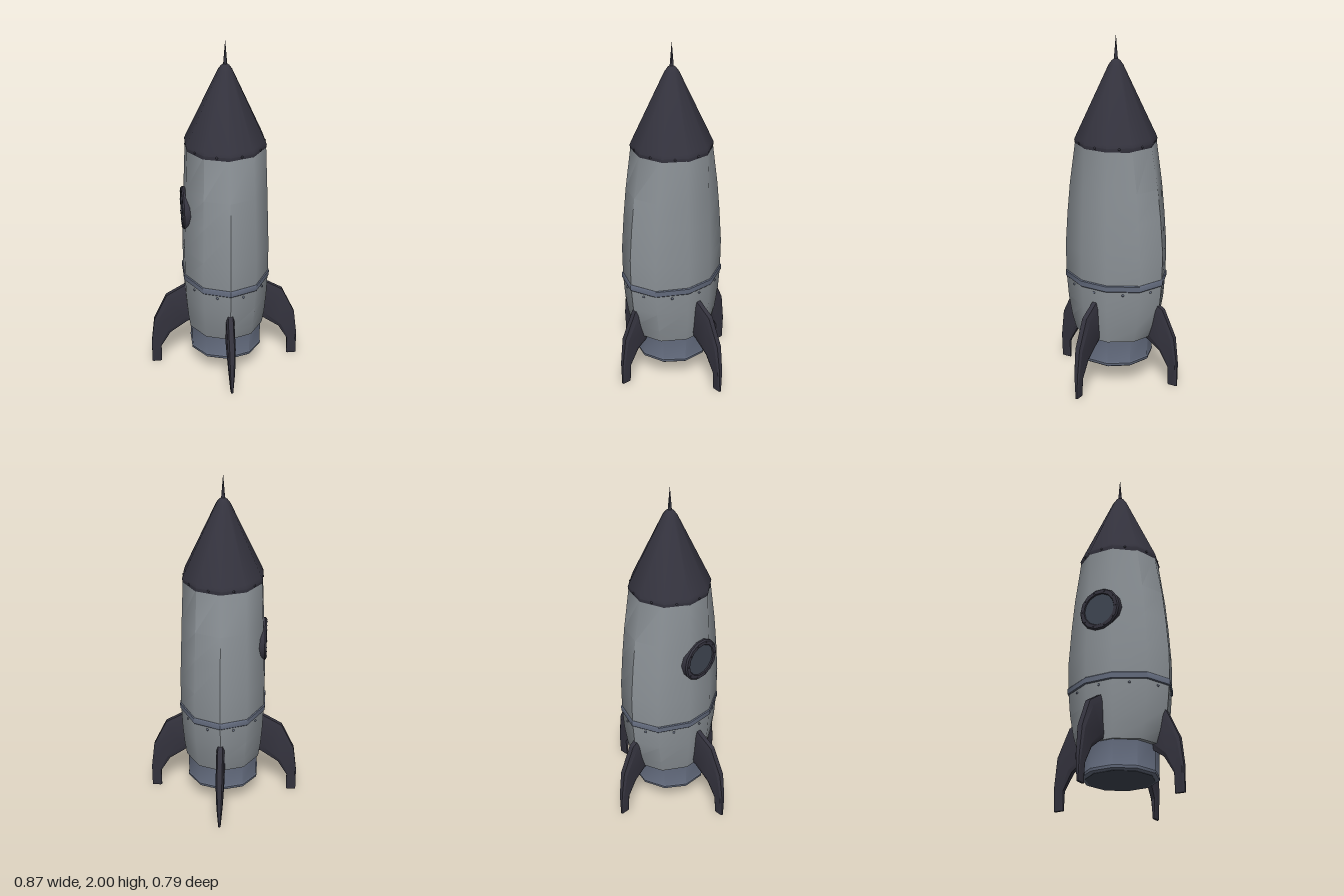
import * as THREE from 'three';
import { toCreasedNormals } from 'three/addons/utils/BufferGeometryUtils.js';

const CX = 0.004, CZ = 0.015;
const mat = (color) => new THREE.MeshStandardMaterial({ color, roughness: 0.8 });

// Skin a stack of equal-length rings and close both ends
function loft(rings, crease) {
  const n = rings[0].length, pos = [], idx = [];
  rings.forEach((r) => r.forEach((p) => pos.push(p.x, p.y, p.z)));
  for (let i = 0; i < rings.length - 1; i++) {
    for (let k = 0; k < n; k++) {
      const a = i * n + k, b = i * n + (k + 1) % n;
      idx.push(a, b, b + n, a, b + n, a + n);
    }
  }
  [0, rings.length - 1].forEach((i) => {
    const c = rings[i].reduce((s, p) => s.add(p), new THREE.Vector3()).divideScalar(n);
    const ci = pos.length / 3;
    pos.push(c.x, c.y, c.z);
    for (let k = 0; k < n; k++) {
      const a = i * n + k, b = i * n + (k + 1) % n;
      if (i) idx.push(ci, a, b); else idx.push(ci, b, a);
    }
  });
  const g = new THREE.BufferGeometry();
  g.setAttribute('position', new THREE.Float32BufferAttribute(pos, 3));
  g.setIndex(idx);
  return toCreasedNormals(g, crease);
}

// Hull point: ten sides, flat sides at +-x, stretched along z towards front and back corners
function hullPoint(y, halfX, halfZ, k) {
  const t = k * Math.PI / 5, r = halfX / Math.sin(0.4 * Math.PI);
  const c = Math.cos(t), s = THREE.MathUtils.smoothstep(Math.abs(c), 0.1, 0.85);
  return new THREE.Vector3(r * Math.sin(t), y, c * THREE.MathUtils.lerp(r, halfZ, s));
}
const hull = (levels) => loft(levels.map(([y, hx, hz]) =>
  Array.from({ length: 10 }, (_, k) => hullPoint(y, hx, hz, k))), 0.7);
const round = (levels) => hull(levels.map(([y, r]) => [y, r * 0.951, r]));

// Curved fin: chamfered sections from foot to root
function finGeometry() {
  // outer x, y, inner x, y, half thickness
  const stations = [
    [0.437, 0, 0.38, 0, 0.007],
    [0.437, 0.14, 0.38, 0.11, 0.017],
    [0.418, 0.30, 0.325, 0.205, 0.023],
    [0.343, 0.46, 0.22, 0.28, 0.023],
    [0.19, 0.55, 0.17, 0.29, 0.021],
  ];
  const section = [[1, 0.6], [0.85, 1], [0.15, 1], [0, 0.6], [0, -0.6], [0.15, -1], [0.85, -1], [1, -0.6]];
  return loft(stations.map(([ox, oy, ix, iy, w]) => section.map(([t, s]) =>
    new THREE.Vector3(THREE.MathUtils.lerp(ox, ix, t), THREE.MathUtils.lerp(oy, iy, t), s * w))), 0.35);
}

export function createModel() {
  const root = new THREE.Group();
  root.name = 'rocket';
  const shell = mat(0x8b9196), dark = mat(0x34333e), steel = mat(0x626a7c), glass = mat(0x3f4652);
  const add = (name, geo, material, parent) => {
    const m = new THREE.Mesh(geo, material);
    m.name = name;
    parent.add(m);
    return m;
  };

  const fuselage = new THREE.Group();
  fuselage.name = 'fuselage';
  fuselage.position.set(CX, 0, CZ);
  root.add(fuselage);

  // Hull, trim band, nozzle and nose
  add('hull', hull([[0.28, 0.211, 0.24], [0.36, 0.223, 0.266], [0.48, 0.233, 0.29], [0.62, 0.239, 0.303],
    [0.8, 0.24, 0.306], [1.0, 0.233, 0.29], [1.17, 0.227, 0.27], [1.42, 0.217, 0.226]]), shell, fuselage);
  add('trimBand', hull([[0.602, 0.24, 0.303], [0.607, 0.245, 0.308], [0.637, 0.245, 0.308],
    [0.642, 0.24, 0.304]]), steel, fuselage);
  add('nozzle', round([[0.118, 0.203], [0.125, 0.212], [0.14, 0.214], [0.145, 0.21], [0.3, 0.213]]), steel, fuselage);
  add('nozzleOpening', round([[0.116, 0.19], [0.13, 0.19]]), glass, fuselage);
  add('noseCone', round([[1.4, 0.228], [1.425, 0.232], [1.445, 0.224], [1.84, 0.04], [1.862, 0.024],
    [1.872, 0.011], [2.0, 0.0005]]), dark, fuselage);

  // Rivets at the middle of each facet
  const rivet = new THREE.SphereGeometry(0.007, 8, 6);
  [[1.42, 0.219, 0.23, dark], [0.583, 0.238, 0.301, steel]].forEach(([y, hx, hz, m]) => {
    for (let k = 0; k < 10; k++) {
      const p = hullPoint(y, hx, hz, k).lerp(hullPoint(y, hx, hz, k + 1), 0.5);
      add('rivet', rivet, m, fuselage).position.copy(p);
    }
  });

  // Round window on the right side
  const porthole = new THREE.Group();
  porthole.name = 'porthole';
  porthole.position.set(-0.2, 1.03, 0.017);
  porthole.rotation.z = Math.PI / 2;
  root.add(porthole);
  const rim = [[0.123, 0], [0.124, 0.034], [0.117, 0.043], [0.096, 0.043], [0.09, 0.034], [0.09, 0]]
    .map(([r, h]) => new THREE.Vector2(r, h));
  add('portholeRim', toCreasedNormals(new THREE.LatheGeometry(rim, 14), 0.5), dark, porthole);
  add('portholeGlass', new THREE.CylinderGeometry(0.092, 0.092, 0.037, 14), glass, porthole).position.y = 0.0185;
  const small = new THREE.SphereGeometry(0.004, 6, 4);
  for (let k = 0; k < 10; k++) {
    const t = (k + 0.5) * Math.PI / 5;
    add('portholeRivet', small, dark, porthole).position.set(0.107 * Math.cos(t), 0.043, 0.107 * Math.sin(t));
  }

  // Four fins, the front and back pair set further in
  const fin = finGeometry();
  ['leftFin', 'backFin', 'rightFin', 'frontFin'].forEach((name, k) => {
    const holder = new THREE.Group();
    holder.name = name;
    holder.rotation.y = k * Math.PI / 2;
    holder.position.set(k % 2 ? CX : 0, 0, k % 2 ? 0 : CZ);
    add('finBlade', fin, dark, holder).position.x = k % 2 ? -0.041 : 0;
    root.add(holder);
  });
  return root;
}
